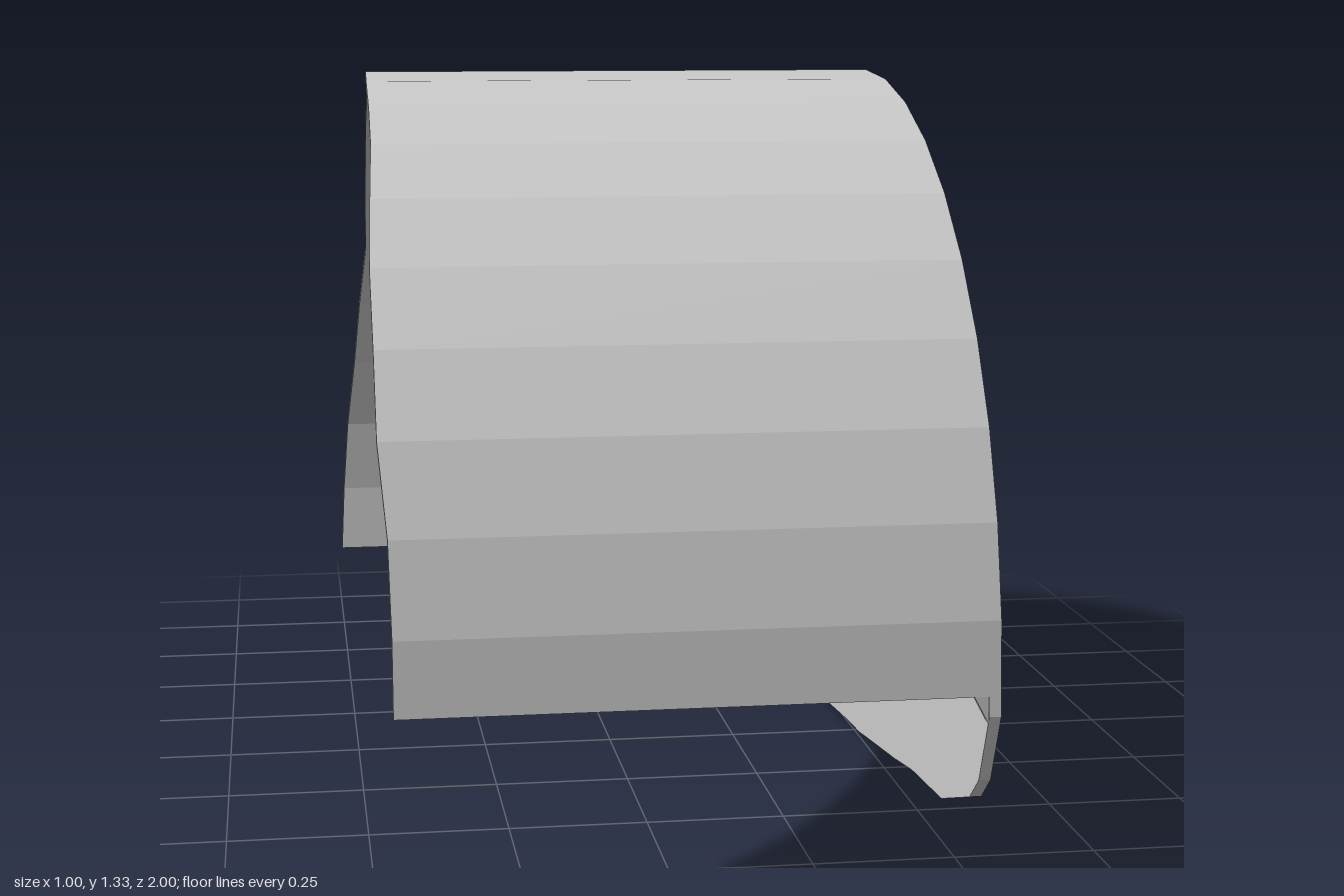
import * as THREE from 'three';

const CENTRE_Y = 0.327, THICK = 0.014, SIDE_X = 0.48;
const STEP = 9; // degrees per flat facet

// Point on the faceted arc: 0 deg = front, 90 = top, 180 = back
function arcPoint(deg, x, inset = 0) {
  const local = ((deg % STEP) + STEP) % STEP - STEP / 2;
  const rad = Math.PI / 180;
  const r = (1 - inset) * Math.cos(STEP / 2 * rad) / Math.cos(local * rad);
  return [x, CENTRE_Y + r * Math.sin(deg * rad), r * Math.cos(deg * rad)];
}

// Thin curved cover with a wavy free edge and a stepped lower back corner
function coverGeometry() {
  const wave = [-0.475, -0.478, -0.49, -0.49, -0.49, -0.483, -0.475, -0.472, -0.47, -0.465,
    -0.458, -0.452, -0.45, -0.447, -0.445, -0.442, -0.455, -0.467, -0.484, -0.495];
  const stations = [[1.9, -0.475], ...wave.map((x, i) => [(i + 1) * STEP, x]),
    [188.2, -0.502], [188.2, -0.24], [189, -0.24], [194.3, -0.24], [199.1, -0.19]];
  const rows = stations.map(([a, x]) => ({
    lo: arcPoint(a, x), ro: arcPoint(a, SIDE_X),
    li: arcPoint(a, x, THICK), ri: arcPoint(a, SIDE_X, THICK),
  }));
  const pos = [];
  const quad = (a, b, c, d) => pos.push(...a, ...b, ...c, ...a, ...c, ...d);
  for (let i = 0; i < rows.length - 1; i++) {
    const p = rows[i], q = rows[i + 1];
    if (stations[i][0] !== stations[i + 1][0]) {
      quad(p.lo, p.ro, q.ro, q.lo); // outside
      quad(p.li, q.li, q.ri, p.ri); // inside
    }
    quad(p.li, p.lo, q.lo, q.li); // free edge
  }
  const f = rows[0], b = rows[rows.length - 1];
  quad(f.li, f.ri, f.ro, f.lo); // front lower edge
  quad(b.lo, b.ro, b.ri, b.li); // back lower edge
  const g = new THREE.BufferGeometry();
  g.setAttribute('position', new THREE.Float32BufferAttribute(pos, 3));
  g.computeVertexNormals();
  return g;
}

// Flat side plate following the arc, with an uneven lower edge
function sidePlateGeometry() {
  const outline = [];
  for (let a = 0; a <= 198; a += STEP) {
    const [, y, z] = arcPoint(a, 0);
    outline.push([z, y]);
  }
  outline.push([-0.945, 0], [-0.28, 0.004], [-0.14, 0.015], [0, 0.027], [0.13, 0.035],
    [0.25, 0.05], [0.4, 0.068], [0.53, 0.087], [0.73, 0.1], [0.9, 0.16], [0.95, 0.205]);
  const shape = new THREE.Shape(outline.map(([z, y]) => new THREE.Vector2(-z, y)));
  const g = new THREE.ExtrudeGeometry(shape, { depth: 0.5 - SIDE_X, bevelEnabled: false });
  return g.rotateY(Math.PI / 2).translate(SIDE_X, 0, 0);
}

// Small wedge where the front lower edge meets the side plate
function cornerGeometry() {
  const shape = new THREE.Shape([[0.455, 0.362], [SIDE_X, 0.315], [SIDE_X, 0.362]]
    .map(([x, y]) => new THREE.Vector2(x, y)));
  return new THREE.ExtrudeGeometry(shape, { depth: THICK, bevelEnabled: false })
    .translate(0, 0, 0.982);
}

export function createModel() {
  const grey = new THREE.MeshStandardMaterial({ color: 0xcccccc });
  grey.name = 'light grey';
  grey.flatShading = true;
  grey.side = THREE.DoubleSide;
  const model = new THREE.Group();
  model.name = 'curvedCover';
  const add = (name, geometry) => {
    const mesh = new THREE.Mesh(geometry, grey);
    mesh.name = name;
    model.add(mesh);
  };
  add('archedShell', coverGeometry());
  add('sidePlate', sidePlateGeometry());
  add('cornerWedge', cornerGeometry());
  return model;
}
